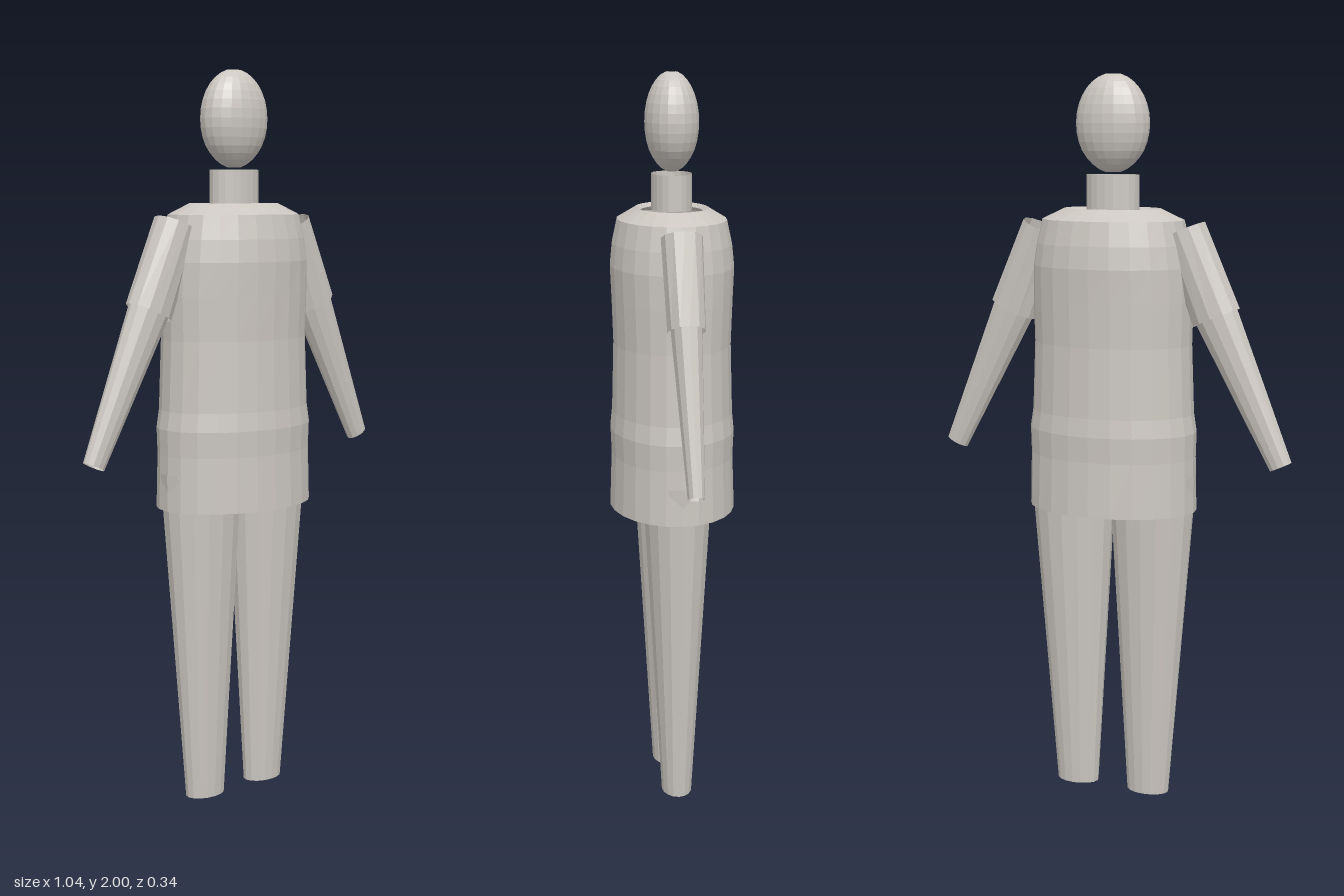
import * as THREE from 'three';

const clay = new THREE.MeshStandardMaterial({ color: 0xcbc6c0, flatShading: true, side: THREE.DoubleSide });
clay.name = 'warmGrey';

// Open tube through elliptical rings [x, y, rx, rz], listed bottom to top; tilt leans the rings about z
function loft(name, rings, sides, tilt = 0) {
  const pos = [], index = [];
  for (const [x, y, rx, rz] of rings) {
    for (let i = 0; i < sides; i++) {
      const a = (i / sides) * Math.PI * 2;
      const u = Math.cos(a) * rx;
      pos.push(x + u * Math.cos(tilt), y + u * Math.sin(tilt), Math.sin(a) * rz);
    }
  }
  for (let r = 0; r < rings.length - 1; r++) {
    for (let i = 0; i < sides; i++) {
      const j = (i + 1) % sides;
      const a = r * sides + i, b = r * sides + j, c = a + sides, d = b + sides;
      index.push(a, c, b, b, c, d);
    }
  }
  const geo = new THREE.BufferGeometry();
  geo.setAttribute('position', new THREE.Float32BufferAttribute(pos, 3));
  geo.setIndex(index);
  geo.computeVertexNormals();
  const mesh = new THREE.Mesh(geo, clay);
  mesh.name = name;
  return mesh;
}

export function createModel() {
  const model = new THREE.Group();
  model.name = 'figure';

  // Long shirt with an open hem and neckline
  model.add(loft('shirt', [
    [0, 0.82, 0.241, 0.172],
    [0, 0.97, 0.238, 0.167],
    [0, 1.04, 0.24, 0.17],
    [0, 1.09, 0.232, 0.165],
    [0, 1.28, 0.225, 0.16],
    [0, 1.4, 0.228, 0.164],
    [0, 1.49, 0.226, 0.168],
    [0, 1.55, 0.217, 0.162],
    [0, 1.615, 0.201, 0.148],
    [0, 1.645, 0.137, 0.098],
    [0, 1.635, 0.12, 0.085],
  ], 24));

  model.add(loft('neck', [[0, 1.64, 0.075, 0.055], [0, 1.735, 0.075, 0.055]], 20));

  // Egg-shaped head, narrower towards the chin, with a small opening at each pole
  const head = [];
  for (let i = 0; i <= 14; i++) {
    const t = 0.22 + (i / 14) * (Math.PI - 0.44);
    const w = Math.sin(t) * (i < 4 ? 0.93 + 0.0175 * i : 1);
    head.push([0, 1.871 - 0.133 * Math.cos(t), 0.104 * w, 0.073 * w]);
  }
  model.add(loft('head', head, 20));

  for (const [side, s] of [['left', 1], ['right', -1]]) {
    // Trouser leg, running up inside the shirt
    model.add(loft(side + 'Leg', [
      [s * 0.109, 0, 0.061, 0.042],
      [s * 0.119, 0.82, 0.118, 0.09],
      [s * 0.121, 0.92, 0.122, 0.095],
    ], 16));

    // Short sleeve and tapered forearm on one slanted line
    model.add(loft(side + 'Sleeve', [
      [s * 0.302, 1.36, 0.071, 0.05],
      [s * 0.208, 1.59, 0.062, 0.055],
    ], 12, s * 0.4));
    model.add(loft(side + 'Forearm', [
      [s * 0.489, 0.968, 0.033, 0.022],
      [s * 0.294, 1.38, 0.064, 0.042],
    ], 12, s * 0.43));
  }
  return model;
}
